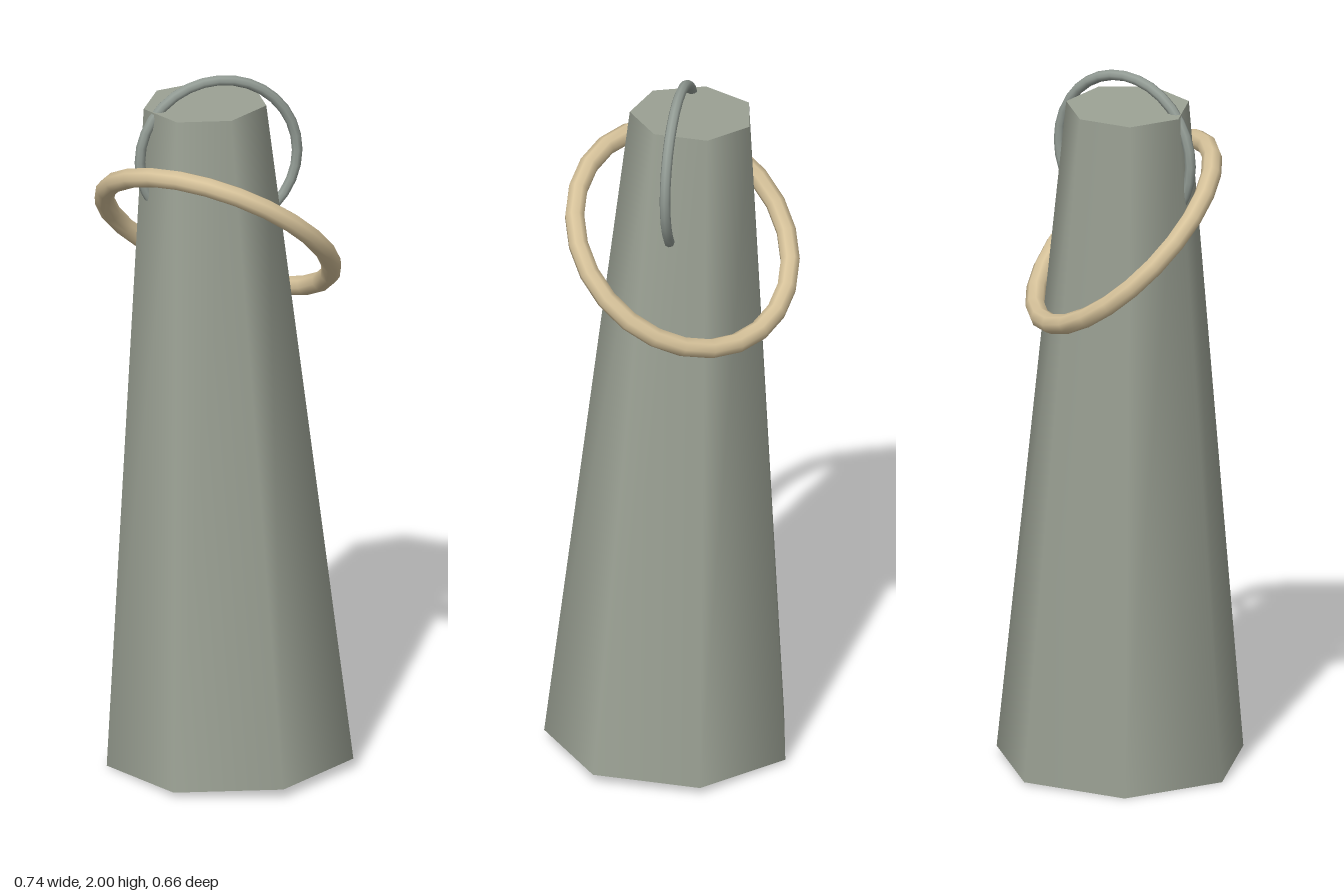
import * as THREE from 'three';

const stone = new THREE.MeshStandardMaterial({ color: 0x9ca295 });
stone.name = 'grey green stone';
const steel = new THREE.MeshStandardMaterial({ color: 0x939c95 });
steel.name = 'grey metal';
const brass = new THREE.MeshStandardMaterial({ color: 0xd6c29a });
brass.name = 'pale brass';

function add(parent, name, geometry, material, x, y, z) {
  const mesh = new THREE.Mesh(geometry, material);
  mesh.name = name;
  mesh.position.set(x, y, z);
  parent.add(mesh);
  return mesh;
}

export function createModel() {
  const model = new THREE.Group();
  model.name = 'taperedWeight';

  // Seven-sided tapered body, leaning slightly to one side
  const body = add(model, 'body', new THREE.CylinderGeometry(0.173, 0.348, 1.9, 7),
    stone, -0.009, 0.963, -0.018);
  body.rotation.z = 0.041;

  // Slanted loose ring, high at the front
  const ring = add(model, 'looseRing', new THREE.TorusGeometry(0.33, 0.028, 8, 24),
    brass, -0.01, 1.538, -0.02);
  ring.rotation.x = 0.8;

  // Three-quarter loop through the top, set on the diagonal
  const loop = new THREE.Group();
  loop.name = 'topLoop';
  loop.position.set(-0.006, 1.763, -0.016);
  loop.rotation.y = 0.695;
  model.add(loop);
  const R = 0.222, r = 0.015, end = Math.PI / 4;
  const arc = add(loop, 'loopArc', new THREE.TorusGeometry(R, r, 8, 24, Math.PI * 1.5),
    steel, 0, 0, 0);
  arc.rotation.z = -end;

  // Caps closing both ends of the loop
  for (const side of [1, -1]) {
    const cap = add(loop, 'loopEnd', new THREE.CircleGeometry(r, 8), steel,
      side * R * Math.cos(end), -R * Math.sin(end), 0);
    cap.lookAt(0, 0, 0);
    cap.quaternion.setFromUnitVectors(new THREE.Vector3(0, 0, 1),
      new THREE.Vector3(-side * Math.SQRT1_2, -Math.SQRT1_2, 0));
  }
  return model;
}
